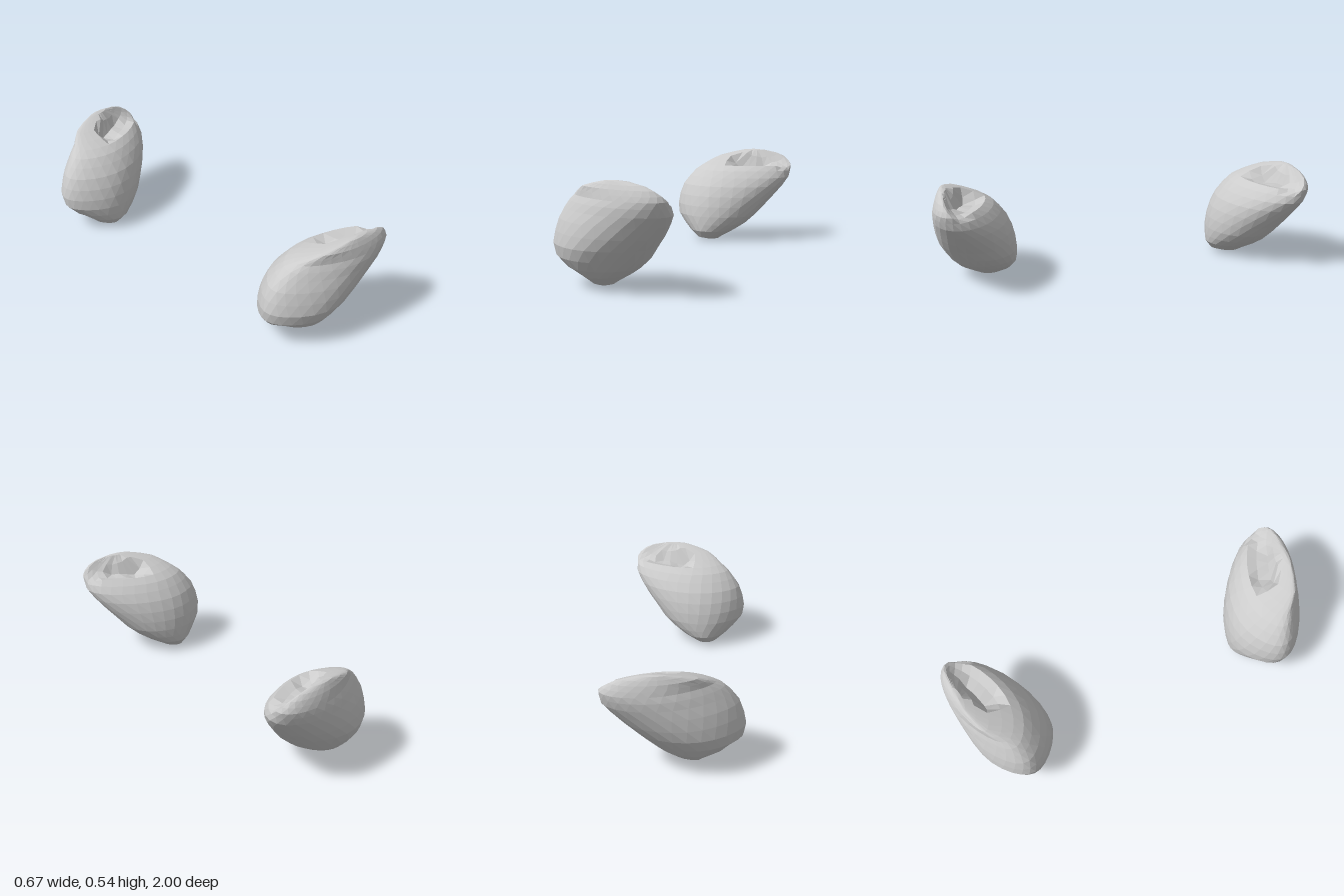
import * as THREE from 'three';

// Horizontal slices of an ear: height, x range, z range, skew angle
const SLICES = [
  [0.004, -0.13, -0.05, 0.64, 0.75, 0],
  [0.018, -0.18, -0.03, 0.585, 0.79, 0],
  [0.06, -0.235, 0.045, 0.552, 0.86, 0],
  [0.1, -0.28, 0.105, 0.548, 0.9, 0],
  [0.15, -0.324, 0.16, 0.548, 0.935, 0],
  [0.21, -0.334, 0.21, 0.555, 0.965, 0.06],
  [0.27, -0.322, 0.26, 0.57, 0.98, 0.15],
  [0.33, -0.3, 0.305, 0.595, 0.99, 0.24],
  [0.38, -0.265, 0.335, 0.63, 0.997, 0.33],
  [0.42, -0.23, 0.337, 0.665, 1.0, 0.4],
  [0.45, -0.19, 0.337, 0.71, 0.997, 0.45],
  [0.475, -0.155, 0.32, 0.765, 0.99, 0.45],
  [0.5, -0.11, 0.29, 0.83, 0.98, 0.45],
  [0.52, -0.04, 0.245, 0.88, 0.968, 0.4],
  [0.535, 0.03, 0.16, 0.92, 0.955, 0.3],
];
const SIDES = 26;

// Dents: centre, radii and push
const DENTS = [
  { at: [0.24, 0.47, 0.885], r: [0.11, 0.12, 0.07], push: [-0.02, -0.04, 0.015] }, // scoop below the tip
  { at: [0.15, 0.46, 0.845], r: [0.11, 0.12, 0.075], push: [-0.03, -0.06, 0.01] }, // middle of the scoop
  { at: [0.06, 0.46, 0.81], r: [0.09, 0.12, 0.065], push: [-0.02, -0.08, 0] }, // ear canal
  { at: [-0.23, 0.04, 0.78], r: [0.13, 0.07, 0.13], push: [0.02, 0.025, -0.015] }, // root
];

function dent(p) {
  const q = [...p];
  for (const { at, r, push } of DENTS) {
    const d2 = p.reduce((s, v, i) => s + ((v - at[i]) / r[i]) ** 2, 0);
    if (d2 < 1) push.forEach((v, i) => { q[i] += v * (1 - d2); });
  }
  return q;
}

// Loft of skewed ellipses, closed at both ends; side = +1 or -1 along z
function earGeometry(side) {
  const pos = [], index = [];
  const add = (x, y, z) => {
    const q = dent([x, y, z]);
    pos.push(q[0], q[1], q[2] * side);
  };
  const tri = (a, b, c) => (side > 0 ? index.push(a, b, c) : index.push(a, c, b));

  SLICES.forEach(([y, x0, x1, z0, z1, skew], i) => {
    for (let j = 0; j < SIDES; j++) {
      const t = ((j + (i % 2) / 2) / SIDES) * Math.PI * 2;
      const taper = 1 - 0.25 * Math.min(0, Math.cos(t)) ** 2; // narrower towards -x
      add((x0 + x1) / 2 + (x1 - x0) / 2 * Math.cos(t), y,
        (z0 + z1) / 2 + (z1 - z0) / 2 * Math.sin(t + skew) * taper);
    }
  });
  for (let i = 0; i < SLICES.length - 1; i++) {
    for (let j = 0; j < SIDES; j++) {
      const k = (j + 1) % SIDES, lo = i * SIDES, hi = lo + SIDES;
      if (i % 2) { // upper ring lags half a step
        tri(lo + j, hi + k, lo + k);
        tri(lo + j, hi + j, hi + k);
      } else { // upper ring leads half a step
        tri(lo + j, hi + j, lo + k);
        tri(lo + k, hi + j, hi + k);
      }
    }
  }
  // End caps
  const bottom = pos.length / 3, last = (SLICES.length - 1) * SIDES;
  add(-0.09, 0, 0.7);
  add(0.09, 0.54, 0.94);
  for (let j = 0; j < SIDES; j++) {
    const k = (j + 1) % SIDES;
    tri(bottom, j, k);
    tri(bottom + 1, last + k, last + j);
  }
  const g = new THREE.BufferGeometry();
  g.setAttribute('position', new THREE.Float32BufferAttribute(pos, 3));
  g.setIndex(index);
  g.computeVertexNormals();
  return g;
}

export function createModel() {
  const group = new THREE.Group();
  group.name = 'earPair';
  const material = new THREE.MeshStandardMaterial({ color: 0xcccccc, flatShading: true });
  for (const [name, side] of [['frontEar', 1], ['backEar', -1]]) {
    const ear = new THREE.Mesh(earGeometry(side), material);
    ear.name = name;
    group.add(ear);
  }
  return group;
}
